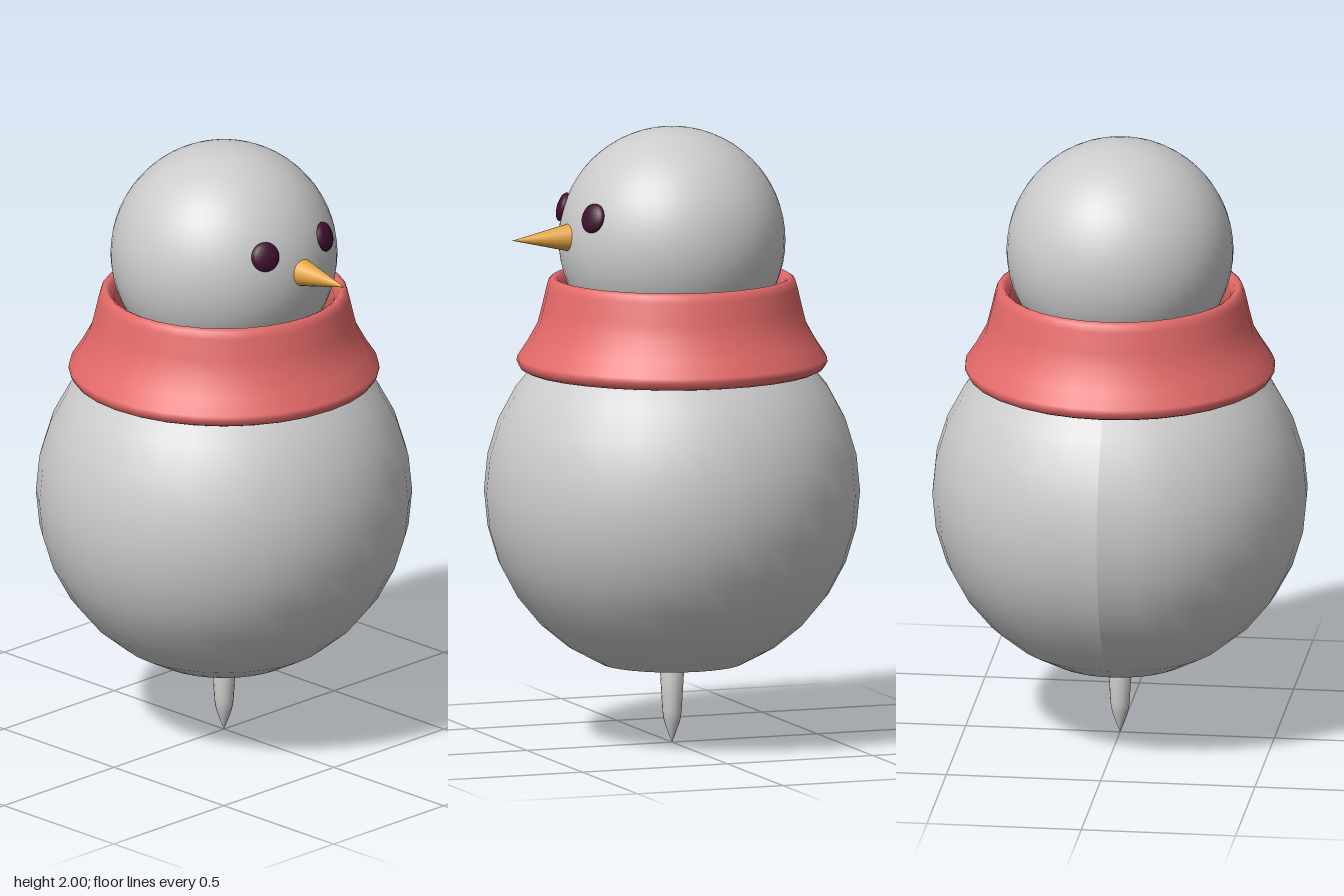
import * as THREE from 'three';

const mat = (color) => new THREE.MeshStandardMaterial({ color, side: THREE.DoubleSide });

function add(group, name, geometry, material) {
  const mesh = new THREE.Mesh(geometry, material);
  mesh.name = name;
  group.add(mesh);
  return mesh;
}

const lathe = (points, segments) =>
  new THREE.LatheGeometry(points.map(([r, y]) => new THREE.Vector2(r, y)), segments);

export function createModel() {
  const model = new THREE.Group();
  model.name = 'snowBird';
  const grey = mat(0xcccccc);
  const red = mat(0xe56a6a);
  const dark = mat(0x40102f);
  const orange = mat(0xe5a544);

  // Body: sphere whose underside is flattened at the second ring
  const R = 0.605, floor = -R * Math.cos(Math.PI / 8);
  const bodyGeo = new THREE.SphereGeometry(R, 32, 16);
  const p = bodyGeo.attributes.position;
  for (let i = 0; i < p.count; i++) p.setY(i, Math.max(p.getY(i), floor));
  bodyGeo.computeVertexNormals();
  add(model, 'body', bodyGeo, grey).position.y = 0.82;

  // Head
  const headY = 1.635;
  add(model, 'head', new THREE.SphereGeometry(0.365, 48, 32), grey).position.y = headY;

  // Flared collar, closed profile running up the outside and down the inside
  add(model, 'scarf', lathe([
    [0.42, 1.215], [0.475, 1.215], [0.49, 1.222], [0.5, 1.24], [0.498, 1.255],
    [0.465, 1.305], [0.432, 1.365], [0.418, 1.42], [0.403, 1.485], [0.396, 1.507],
    [0.383, 1.516], [0.37, 1.51], [0.355, 1.485], [0.35, 1.4], [0.42, 1.215],
  ], 32), red);

  // Peg underneath
  add(model, 'peg', lathe([
    [0, 0], [0.012, 0.03], [0.026, 0.07], [0.031, 0.1], [0.041, 0.27], [0, 0.27],
  ], 16), grey);

  // Beak pointing to +x
  const beak = add(model, 'beak', new THREE.ConeGeometry(0.046, 0.2, 20), orange);
  beak.rotation.z = -Math.PI / 2;
  beak.position.set(0.45, 1.66, 0);

  // Eyes: flattened spheres lying along the head's surface
  for (const side of [-1, 1]) {
    const eye = add(model, side > 0 ? 'rightEye' : 'leftEye',
      new THREE.SphereGeometry(0.048, 20, 14), dark);
    const normal = new THREE.Vector3(0.325, 0.105, 0.135 * side).normalize();
    eye.scale.z = 0.45;
    eye.quaternion.setFromUnitVectors(new THREE.Vector3(0, 0, 1), normal);
    eye.position.copy(normal).multiplyScalar(0.364);
    eye.position.y += headY;
  }
  return model;
}
